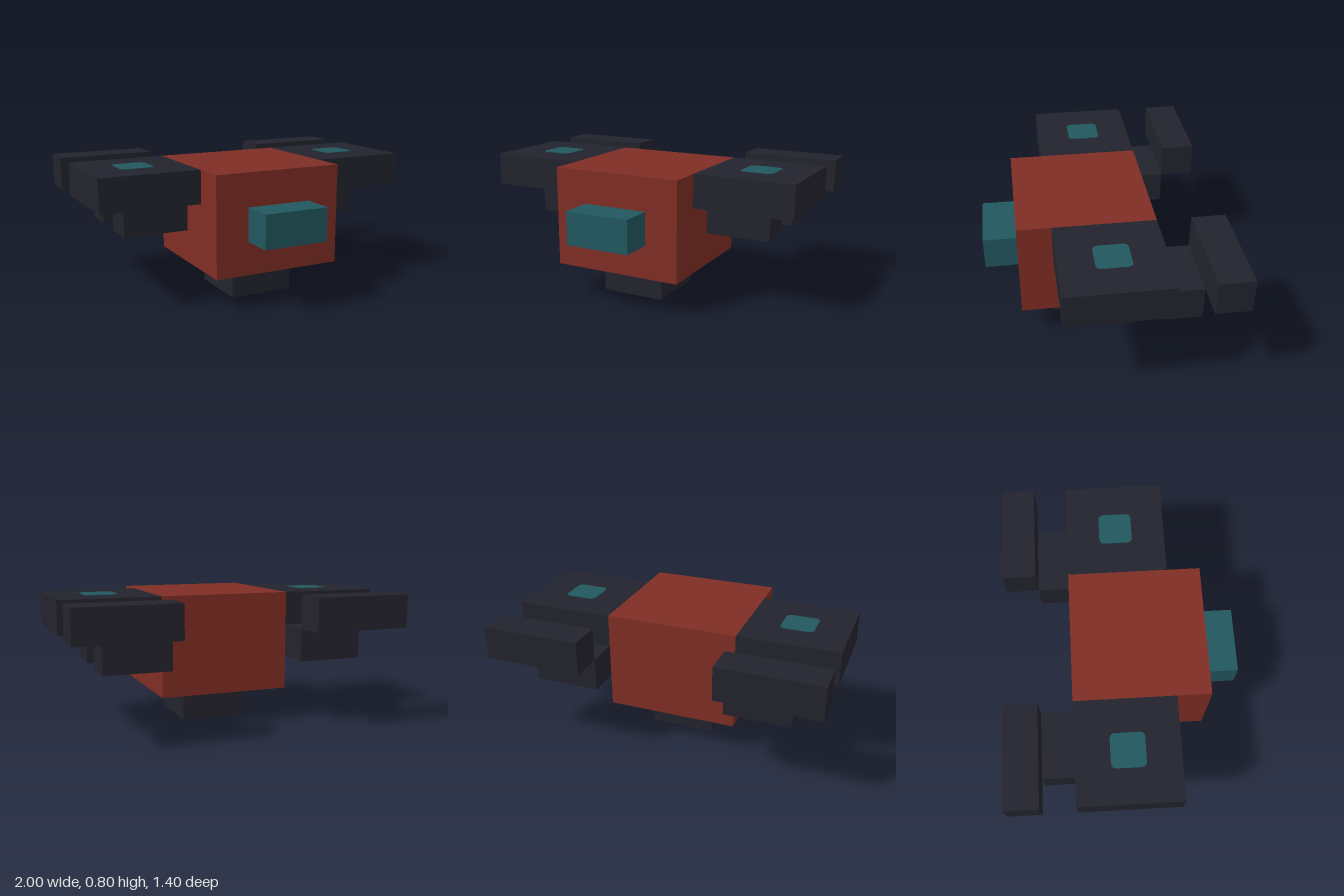
import * as THREE from 'three';

const red = new THREE.MeshStandardMaterial({ name: 'brick red', color: 0x802e24 });
const dark = new THREE.MeshStandardMaterial({ name: 'charcoal', color: 0x23232d });
const teal = new THREE.MeshStandardMaterial({ name: 'teal', color: 0x22575f });

// Box spanning [min, max] on each axis
function block(name, material, [x0, x1], [y0, y1], [z0, z1]) {
  const mesh = new THREE.Mesh(new THREE.BoxGeometry(x1 - x0, y1 - y0, z1 - z0), material);
  mesh.name = name;
  mesh.position.set((x0 + x1) / 2, (y0 + y1) / 2, (z0 + z1) / 2);
  return mesh;
}

// Thin rounded square lying flat
function roundedPad(size, radius, thickness) {
  const h = size / 2, c = h - radius;
  const shape = new THREE.Shape();
  shape.moveTo(-c, -h);
  shape.lineTo(c, -h);
  shape.absarc(c, -c, radius, -Math.PI / 2, 0);
  shape.absarc(c, c, radius, 0, Math.PI / 2);
  shape.absarc(-c, c, radius, Math.PI / 2, Math.PI);
  shape.absarc(-c, -c, radius, Math.PI, Math.PI * 1.5);
  const geometry = new THREE.ExtrudeGeometry(shape, { depth: thickness, bevelEnabled: false, curveSegments: 5 });
  return geometry.rotateX(-Math.PI / 2);
}

export function createModel() {
  const model = new THREE.Group();
  model.name = 'blockCraft';

  // Central hull, nose and foot
  model.add(
    block('body', red, [-0.4, 0.4], [0.2, 0.8], [-0.3, 0.5]),
    block('nose', teal, [-0.2, 0.2], [0.4, 0.6], [0.5, 0.7]),
    block('foot', dark, [-0.2, 0.2], [0, 0.2], [-0.1, 0.3])
  );

  // Mirrored wings and tail pieces
  for (const side of [1, -1]) {
    const span = (a, b) => (side > 0 ? [a, b] : [-b, -a]);
    const group = new THREE.Group();
    group.name = side > 0 ? 'leftWing' : 'rightWing';
    group.add(
      block('wing', dark, span(0.4, 1), [0.6, 0.8], [-0.3, 0.3]),
      block('wingBrace', dark, span(0.4, 0.8), [0.4, 0.6], [-0.1, 0.1]),
      block('tailStrut', dark, span(0.4, 0.8), [0.4, 0.6], [-0.5, -0.3]),
      block('tailFin', dark, span(0.4, 1), [0.6, 0.8], [-0.7, -0.5])
    );
    const pad = new THREE.Mesh(roundedPad(0.2, 0.03, 0.004), teal);
    pad.name = 'wingPad';
    pad.position.set(side * 0.7, 0.799, 0);
    group.add(pad);
    model.add(group);
  }
  return model;
}
